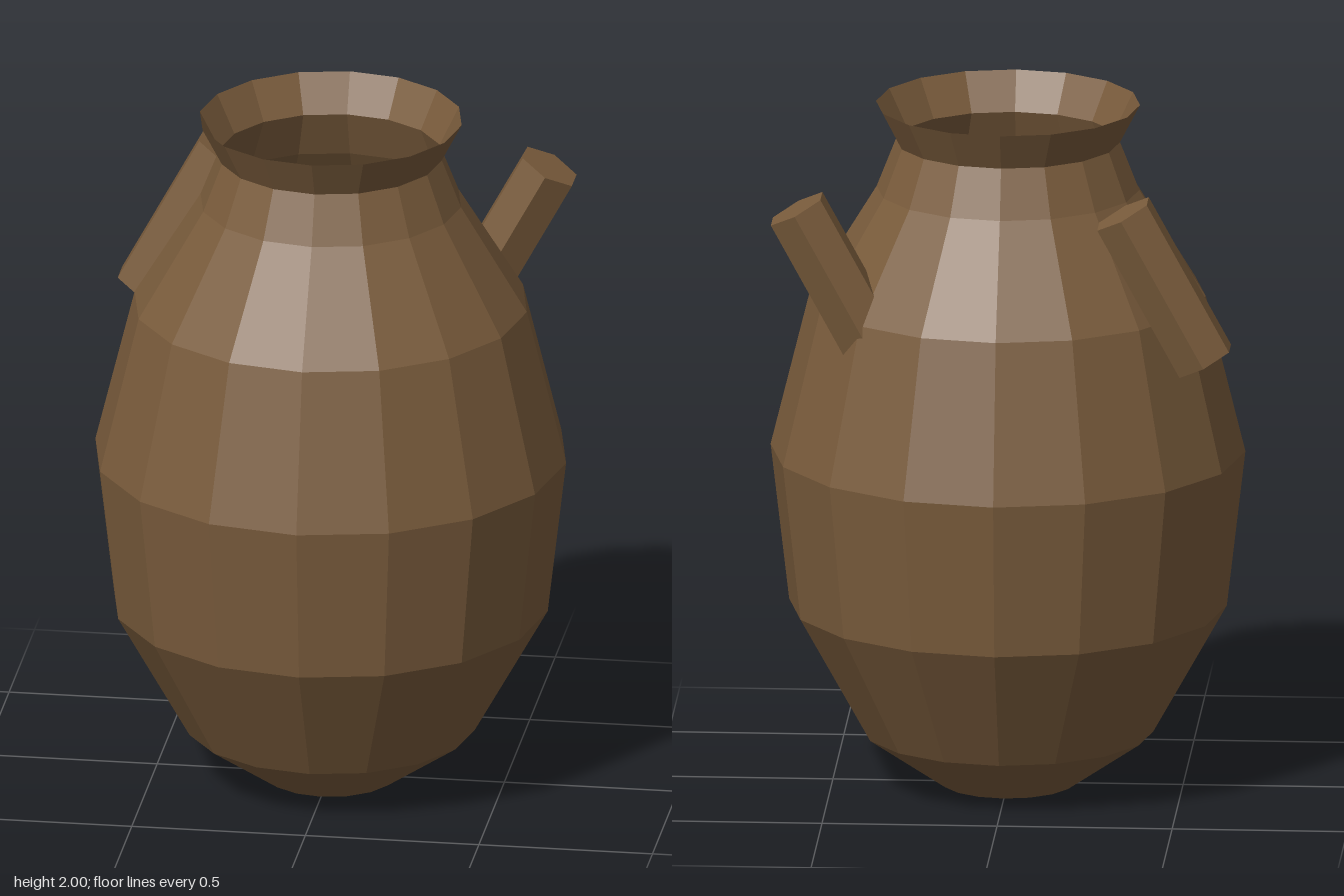
import * as THREE from 'three';

export function createModel() {
  const model = new THREE.Group();
  model.name = 'clayJar';

  const clay = new THREE.MeshStandardMaterial({
    name: 'brown clay', color: 0x7a5c3c, flatShading: true, side: THREE.DoubleSide,
  });

  // Thin faceted shell, open at the mouth and at the base: [radius, height]
  const profile = [
    [0.19, 0], [0.415, 0.155], [0.625, 0.53], [0.678, 0.985],
    [0.565, 1.44], [0.375, 1.75], [0.32, 1.89], [0.377, 2],
  ].map(([r, y]) => new THREE.Vector2(r, y));
  const body = new THREE.Mesh(new THREE.LatheGeometry(profile, 16), clay);
  body.name = 'jarBody';
  model.add(body);

  // Two parallel hexagonal lugs, both leaning towards +x, set behind the middle
  const lugGeometry = new THREE.CylinderGeometry(0.093, 0.093, 0.49, 6);
  for (const [name, side] of [['leftLug', 1], ['rightLug', -1]]) {
    const lug = new THREE.Mesh(lugGeometry, clay);
    lug.name = name;
    lug.position.set(side * 0.466, 1.548, -0.322);
    lug.rotation.z = -0.5;
    model.add(lug);
  }

  return model;
}
